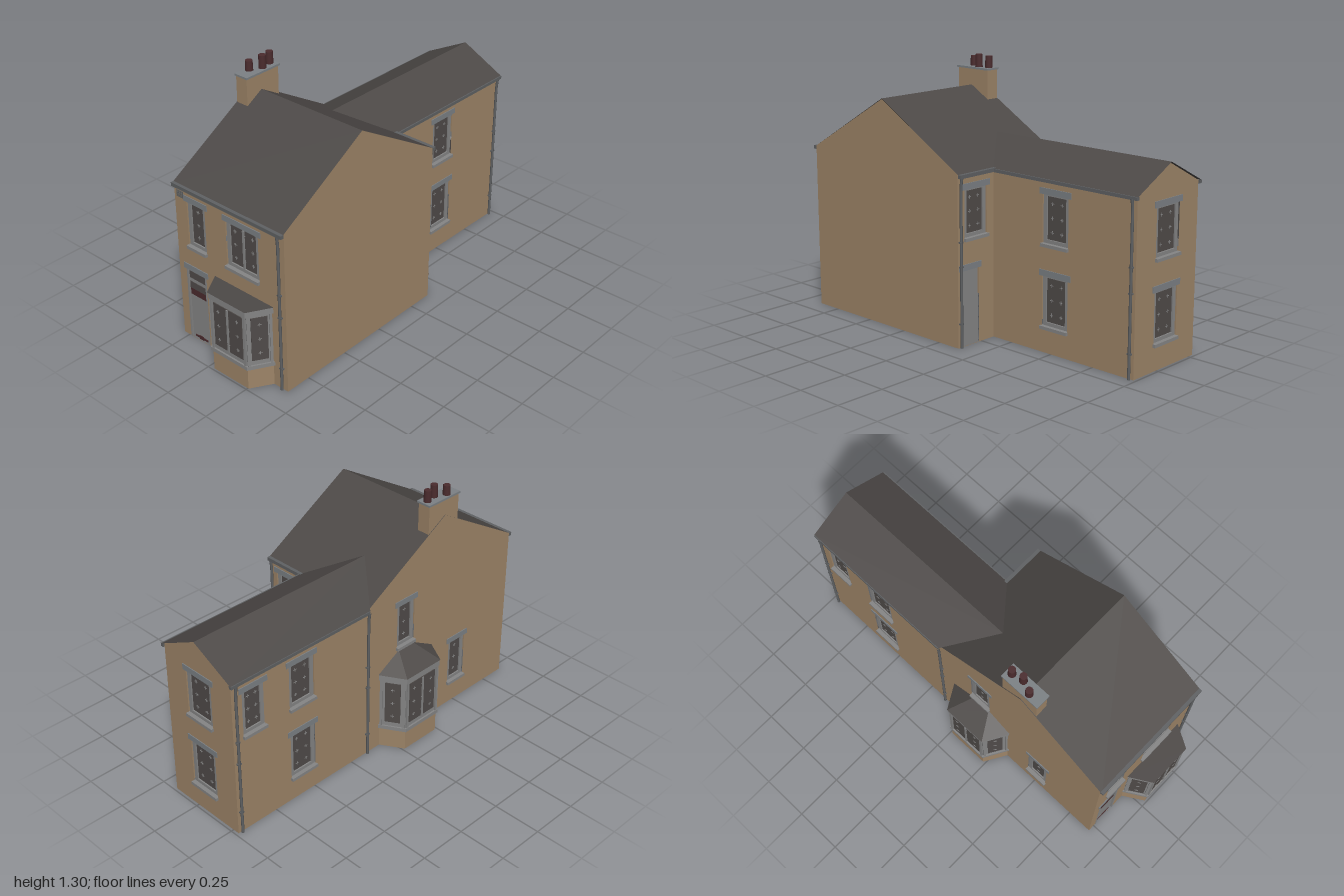
import * as THREE from 'three';

const mat = (name, color, side = THREE.FrontSide) => {
  const m = new THREE.MeshStandardMaterial({ color, side });
  m.name = name;
  return m;
};

export function createModel() {
  const brick = mat('sandy brick', 0x9e8568, THREE.DoubleSide);
  const slate = mat('roof slate', 0x4d4947, THREE.DoubleSide);
  const frameGrey = mat('painted frame grey', 0x858585);
  const stone = mat('blue grey stone', 0x7c8185);
  const glass = mat('dark glass', 0x504b49, THREE.DoubleSide);
  const pipeGrey = mat('gutter grey', 0x5f6163);
  const maroon = mat('dark maroon', 0x4a2b2d);

  const house = new THREE.Group();
  house.name = 'house';

  const add = (parent, name, geo, material, x = 0, y = 0, z = 0) => {
    const m = new THREE.Mesh(geo, material);
    m.name = name;
    m.position.set(x, y, z);
    parent.add(m);
    return m;
  };
  const box = (p, name, material, w, h, d, x, y, z) =>
    add(p, name, new THREE.BoxGeometry(w, h, d), material, x, y, z);
  // Flat polygon drawn as a fan
  const face = (p, name, material, pts) => {
    const v = [];
    for (let i = 1; i < pts.length - 1; i++) v.push(...pts[0], ...pts[i], ...pts[i + 1]);
    const g = new THREE.BufferGeometry();
    g.setAttribute('position', new THREE.Float32BufferAttribute(v, 3));
    g.computeVertexNormals();
    return add(p, name, g, material);
  };
  const group = (p, name, x, z, angle) => {
    const g = new THREE.Group();
    g.name = name;
    g.position.set(x, 0, z);
    g.rotation.y = angle;
    p.add(g);
    return g;
  };
  const rectPts = (u, y0, y1, w) => [
    [u - w / 2, y0], [u - w / 2, y1], [u + w / 2, y1], [u + w / 2, y0],
  ].map(([x, y]) => new THREE.Vector2(x, y));

  // Glass pane with small glazing crosses
  const pane = (p, u, y0, y1, w, z) => {
    box(p, 'glass', glass, w, y1 - y0, 0.004, u, (y0 + y1) / 2, z);
    const cols = Math.max(1, Math.round(w / 0.06)), rows = 3;
    for (let c = 0; c < cols; c++) for (let r = 0; r < rows; r++) {
      const x = u + w * ((c + 0.5) / cols - 0.5), y = y0 + (y1 - y0) * (r + 0.5) / rows;
      box(p, 'glazingCross', frameGrey, 0.018, 0.003, 0.002, x, y, z + 0.003);
      box(p, 'glazingCross', frameGrey, 0.003, 0.018, 0.002, x, y, z + 0.003);
    }
  };

  // Recessed sash window with sill and lintel
  const windowUnit = (p, { u, y0, y1, w, split }) => {
    const s = new THREE.Shape(rectPts(u, y0, y1, w));
    const b = 0.02;
    s.holes.push(new THREE.Path(rectPts(u, y0 + 0.025, y1 - 0.008, w - 2 * b).reverse()));
    add(p, 'windowFrame', new THREE.ExtrudeGeometry(s, { depth: 0.018, bevelEnabled: false }), frameGrey, 0, 0, -0.025);
    pane(p, u, y0 + 0.025, y1 - 0.008, w - 2 * b, -0.016);
    if (split) box(p, 'windowMullion', frameGrey, 0.01, y1 - y0 - 0.03, 0.01, u, (y0 + y1) / 2, -0.012);
    box(p, 'windowSill', frameGrey, w + 0.008, 0.016, 0.036, u, y0, -0.004);
    box(p, 'lintel', stone, w + 0.034, 0.03, 0.006, u, y1 + 0.015, 0.001);
  };

  // Door with fanlight, upper glass and threshold
  const doorUnit = (p, { u, y1, w, fancy }) => {
    box(p, 'door', frameGrey, w, y1, 0.014, u, y1 / 2, -0.015);
    box(p, 'lintel', stone, w + 0.026, 0.03, 0.006, u, y1 + 0.015, 0.001);
    if (!fancy) return;
    for (const s of [-1, 1]) box(p, 'doorJamb', frameGrey, 0.01, y1, 0.012, u + s * (w / 2 - 0.005), y1 / 2, -0.005);
    box(p, 'fanlight', glass, w - 0.024, 0.038, 0.004, u, y1 - 0.03, -0.007);
    box(p, 'doorGlass', glass, w - 0.024, 0.036, 0.004, u, 0.302, -0.007);
    box(p, 'doorStainedGlass', maroon, w - 0.03, 0.036, 0.004, u, 0.267, -0.007);
    for (const s of [-1, 0, 1]) box(p, 'doorBottomTrim', maroon, 0.028, s ? 0.01 : 0.02, 0.004, u + s * 0.028, 0.012, -0.007);
  };

  // Wall sheet in its own plane, facing local +z, pierced by its openings
  const wall = (name, x, z, angle, outline, windows = [], doors = []) => {
    const g = group(house, name, x, z, angle);
    const s = new THREE.Shape(outline.map(([a, b]) => new THREE.Vector2(a, b)));
    for (const o of windows) s.holes.push(new THREE.Path(rectPts(o.u, o.y0, o.y1, o.w)));
    for (const o of doors) s.holes.push(new THREE.Path(rectPts(o.u, 0.002, o.y1, o.w)));
    add(g, 'brickwork', new THREE.ShapeGeometry(s), brick);
    windows.forEach((o) => windowUnit(g, o));
    doors.forEach((o) => doorUnit(g, o));
    return g;
  };

  const L = -0.285, R = 0.405, F = 0.885, B = -0.13, WR = 0.165, WB = -0.985;
  const EAVE = 0.845, RIDGE = 1.14, RZ = 0.38, WRIDGE = 0.96, WX = -0.062;
  const rect = (a, b, h) => [[a, 0], [b, 0], [b, h], [a, h]];
  const up = (u, w, split) => ({ u, w, split, y0: 0.525, y1: 0.765 });
  const low = (u, w) => ({ u, w, y0: 0.125, y1: 0.375 });
  const Q = Math.PI / 2;

  // Main block walls
  const front = wall('frontWall', 0, F, 0, rect(L, R, EAVE),
    [up(-0.149, 0.118), up(0.145, 0.203, true)], [{ u: -0.172, w: 0.134, y1: 0.39, fancy: true }]);
  wall('leftGableWall', R, 0, Q, [[-F, 0], [-B, 0], [-B, EAVE], [-RZ, RIDGE], [-F, EAVE]]);
  wall('rightGableWall', L, 0, -Q, [[B, 0], [F, 0], [F, EAVE], [RZ, RIDGE], [B, EAVE]],
    [up(0.12, 0.12), low(0.51, 0.12)]);
  wall('mainBackWall', 0, B, Math.PI, rect(-R, -L, EAVE), [up(-0.285, 0.15)], [{ u: -0.325, w: 0.12, y1: 0.375 }]);

  // Rear wing walls
  wall('wingLeftWall', WR, 0, Q, rect(-B, -WB, 0.84), [up(0.52, 0.155), low(0.52, 0.155)]);
  wall('wingRightWall', L, 0, -Q, rect(WB, B, 0.84), [up(-0.57, 0.155), up(-0.86, 0.13), low(-0.57, 0.155)]);
  wall('wingBackWall', 0, WB, Math.PI, [[-WR, 0], [-L, 0], [-L, 0.84], [-WX, WRIDGE - 0.004], [-WR, 0.84]],
    [up(-WX, 0.17), low(-WX, 0.17)]);

  // Vent grille on the front
  for (let i = 0; i < 4; i++) {
    box(front, 'ventBar', pipeGrey, 0.042, 0.004, 0.004, -0.247, 0.775 + i * 0.01, 0.002);
    box(front, 'ventBar', pipeGrey, 0.004, 0.034, 0.004, -0.265 + i * 0.012, 0.79, 0.002);
  }

  // Main roof slopes
  const lip = 0.012, drop = 0.007;
  for (const z of [F + lip, B - lip]) {
    face(house, 'mainRoofSlope', slate, z > 0
      ? [[L, EAVE - drop, z], [R, EAVE - drop, z], [R, RIDGE + 0.003, RZ], [L, RIDGE + 0.003, RZ]]
      : [[R, EAVE - drop, z], [L, EAVE - drop, z], [L, RIDGE + 0.003, RZ], [R, RIDGE + 0.003, RZ]]);
  }
  // Wing roof slopes running into the main roof
  const wz = -0.995;
  face(house, 'wingRoofSlope', slate, [[-0.297, 0.84, wz], [-0.297, 0.84, -0.14], [WX, WRIDGE, 0.06], [WX, WRIDGE, wz]]);
  face(house, 'wingRoofSlope', slate, [[0.175, 0.84, -0.14], [0.175, 0.84, wz], [WX, WRIDGE, wz], [WX, WRIDGE, 0.06]]);

  // Gutters
  box(house, 'frontGutter', pipeGrey, R - L, 0.018, 0.018, (L + R) / 2, 0.835, F + 0.01);
  box(house, 'backGutter', pipeGrey, R - WR, 0.018, 0.018, (WR + R) / 2, 0.835, B - 0.012);
  box(house, 'wingGutter', pipeGrey, 0.016, 0.016, 0.85, 0.173, 0.832, -0.568);
  box(house, 'wingGutter', pipeGrey, 0.016, 0.016, 0.85, -0.293, 0.832, -0.568);

  // Downpipes with a swan neck and brackets
  const downpipe = (x, z, angle) => {
    const g = group(house, 'downpipe', x, z, angle);
    const path = new THREE.CurvePath();
    const pts = [[0.83, 0.014], [0.785, 0.008], [0, 0.008]].map(([y, d]) => new THREE.Vector3(0, y, d));
    path.add(new THREE.LineCurve3(pts[0], pts[1]));
    path.add(new THREE.LineCurve3(pts[1], pts[2]));
    add(g, 'pipe', new THREE.TubeGeometry(path, 24, 0.007, 8), pipeGrey);
    for (const y of [0.12, 0.4, 0.52]) box(g, 'pipeBracket', pipeGrey, 0.02, 0.008, 0.014, 0, y, 0.006);
  };
  downpipe(0.375, F, 0);
  downpipe(0.39, B, Math.PI);
  downpipe(WR, -0.965, Q);
  downpipe(L, -0.965, -Q);
  downpipe(L, -0.145, -Q);

  // Three sided bay window, projecting along local +z
  const bay = (name, x, z, angle, a, b, d, roofRise) => {
    const g = group(house, name, x, z, angle);
    const prism = (part, material, y0, y1, o) => {
      const s = new THREE.Shape([[-a - o, 0], [-b - o * 0.6, -d - o], [b + o * 0.6, -d - o], [a + o, 0]]
        .map(([px, py]) => new THREE.Vector2(px, -py)).reverse());
      const geo = new THREE.ExtrudeGeometry(s, { depth: y1 - y0, bevelEnabled: false });
      geo.rotateX(Q);
      add(g, part, geo, material, 0, y1, 0);
    };
    prism('bayBase', brick, 0, 0.11, 0);
    prism('baySill', frameGrey, 0.11, 0.13, 0.009);
    prism('bayFrame', frameGrey, 0.13, 0.4, 0);
    prism('bayCornice', frameGrey, 0.4, 0.43, 0.008);
    const facet = (x0, z0, x1, z1, w, split) => {
      const f = group(g, 'bayLight', (x0 + x1) / 2, (z0 + z1) / 2, -Math.atan2(z1 - z0, x1 - x0));
      const len = Math.hypot(x1 - x0, z1 - z0);
      pane(f, 0, 0.155, 0.388, w, 0.002);
      if (split) box(f, 'bayMullion', frameGrey, 0.01, 0.233, 0.01, 0, 0.27, 0.004);
      for (const s of [-1, 1]) box(f, 'bayPost', frameGrey, 0.012, 0.27, 0.01, s * (len / 2 - 0.008), 0.265, 0.002);
    };
    facet(-a, 0, -b, d, 0.078);
    facet(-b, d, b, d, 2 * b - 0.045, true);
    facet(b, d, a, 0, 0.078);
    // Bay roof, flat or hipped up to the wall
    const y = 0.432, A = a + 0.011, C = b + 0.008, D = d + 0.011, T = roofRise ? 0.05 : C;
    const h = y + roofRise, tz = roofRise ? 0.001 : D;
    face(g, 'bayRoof', slate, [[-C, y, D], [C, y, D], [T, h, tz], [-T, h, tz]]);
    face(g, 'bayRoof', slate, [[-A, y, 0], [-C, y, D], [-T, h, tz]]);
    face(g, 'bayRoof', slate, [[C, y, D], [A, y, 0], [T, h, tz]]);
    if (!roofRise) face(g, 'bayRoof', slate, [[-A, y, 0], [-C, y, D], [C, y, D], [A, y, 0]]);
  };
  bay('frontBay', 0.143, F, 0, 0.176, 0.112, 0.104, 0);
  bay('sideBay', L, 0.125, -Q, 0.18, 0.112, 0.114, 0.08);

  // Chimney stack and pots
  box(house, 'chimneyStack', brick, 0.068, 0.21, 0.206, -0.248, 1.12, 0.37);
  box(house, 'chimneyCap', stone, 0.08, 0.01, 0.218, -0.247, 1.23, 0.37);
  for (const [x, z, top] of [[-0.262, 0.408, 1.285], [-0.235, 0.348, 1.3], [-0.247, 0.29, 1.295]])
    add(house, 'chimneyPot', new THREE.CylinderGeometry(0.018, 0.02, top - 1.23, 12), maroon, x, (top + 1.23) / 2, z);

  return house;
}
